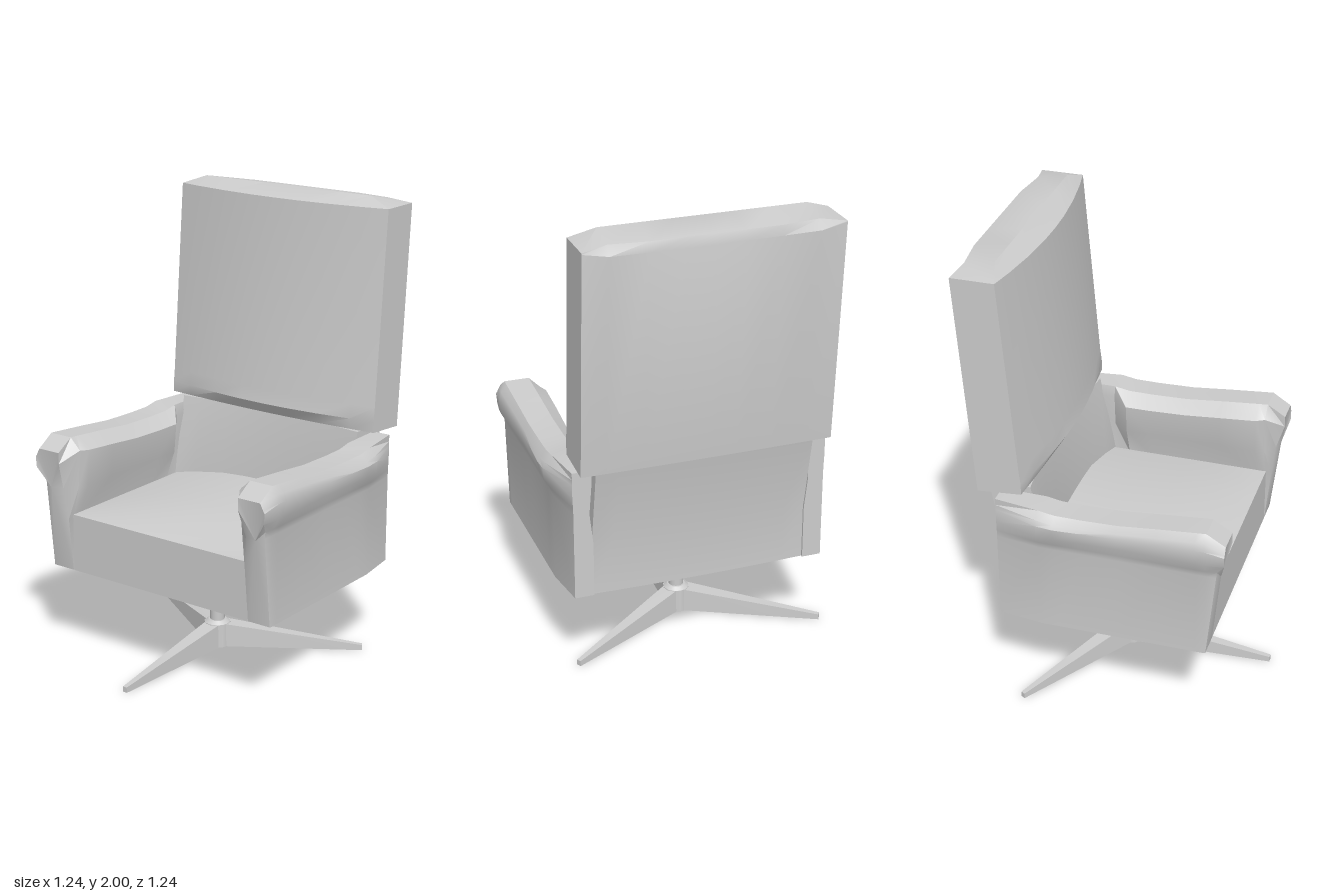
import * as THREE from 'three';
import { toCreasedNormals } from 'three/addons/utils/BufferGeometryUtils.js';

const material = new THREE.MeshStandardMaterial({ color: 0xcccccc });

function part(name, geometry) {
  const mesh = new THREE.Mesh(geometry, material);
  mesh.name = name;
  return mesh;
}

// Closed solid through equal-length loops of [x, y, z], with fanned end caps.
function loft(loops, crease = 0.6) {
  const n = loops[0].length, pos = loops.flat(2), idx = [];
  for (let i = 0; i < loops.length - 1; i++) {
    for (let j = 0; j < n; j++) {
      const a = i * n + j, b = i * n + (j + 1) % n;
      idx.push(a, b, b + n, a, b + n, a + n);
    }
  }
  for (const end of [0, loops.length - 1]) {
    const loop = loops[end], c = pos.length / 3;
    for (let k = 0; k < 3; k++) pos.push(loop.reduce((s, p) => s + p[k], 0) / n);
    for (let j = 0; j < n; j++) {
      const a = end * n + j, b = end * n + (j + 1) % n;
      idx.push(...(end ? [c, a, b] : [c, b, a]));
    }
  }
  // Turn the faces outward if the loops run the other way.
  const v = (i) => new THREE.Vector3().fromArray(pos, i * 3);
  let volume = 0;
  for (let i = 0; i < idx.length; i += 3) {
    volume += v(idx[i]).dot(v(idx[i + 1]).cross(v(idx[i + 2])));
  }
  if (volume < 0) idx.reverse();
  const g = new THREE.BufferGeometry();
  g.setAttribute('position', new THREE.Float32BufferAttribute(pos, 3));
  g.setIndex(idx);
  return toCreasedNormals(g, crease);
}

// Loft across x: profile(x, b) gives [y, z] points, b runs 0 at sides to 1 at centre.
function across(half, stations, profile) {
  return loft(stations.map((t) => {
    const x = t * half;
    return profile(x, 1 - t * t).map(([y, z]) => [x, y, z]);
  }));
}

const STATIONS = [-1, -0.8, -0.5, -0.22, 0, 0.22, 0.5, 0.8, 1];

// Tall cushion, bowed forward, with a bevelled top and a lumbar roll at the foot.
function upperBack() {
  return across(0.54, STATIONS, (x, b) => {
    const t = Math.min(1, (0.54 - Math.abs(x)) / 0.108);
    const dip = t < 1 ? t : Math.max(0, 1 - (0.432 - Math.abs(x)) / 0.16);
    return [
      [1.01, -0.345 + 0.025 * b],
      [1.06, -0.345 + 0.06 * b],
      [1.12, -0.352 + 0.055 * b],
      [1.96, -0.42 + 0.06 * b],
      [1.96 + 0.04 * t, -0.42 - 0.035 * t],
      [1.96 + 0.015 * t, -0.605 + 0.02 * dip],
      [1.955 - 0.02 * t, -0.606 - 0.013 * b],
      [0.995, -0.535 - 0.005 * b],
    ];
  });
}

// Hollowed lower back, leaning out behind to meet the cushion.
function lowerBack() {
  return across(0.47, STATIONS, (x, b) => [
    [0.4, -0.28 - 0.03 * b],
    [0.66, -0.26 - 0.045 * b],
    [1.005, -0.33 - 0.03 * b],
    [1.005, -0.515 - 0.012 * b],
    [0.66, -0.445 - 0.012 * b],
    [0.4, -0.445 - 0.01 * b],
  ]);
}

// Seat block with a crowned top.
function seat() {
  const depths = [0.455, 0.42, 0.35, 0.24, 0.1, -0.1, -0.3];
  return across(0.463, STATIONS, (x, b) => [
    [0.4, -0.3],
    [0.4, 0.455],
    ...depths.map((z) => {
      const f = 1 - (Math.max(0, z - 0.1) / 0.355) ** 2;
      return [0.655 + 0.045 * b * f, z];
    }),
  ]);
}

// Arm: [z, top height, inner pad x, outer roll x, body x] along its length.
function arm(side) {
  const sections = [
    [0.53, 0.95, 0.47, 0.6, 0.575],
    [0.45, 1.0, 0.42, 0.615, 0.577],
    [0.41, 0.997, 0.403, 0.617, 0.577],
    [0.25, 0.983, 0.405, 0.611, 0.577],
    [0.08, 0.966, 0.41, 0.606, 0.577],
    [-0.08, 0.962, 0.408, 0.612, 0.577],
    [-0.19, 0.963, 0.406, 0.619, 0.577],
    [-0.26, 0.975, 0.46, 0.619, 0.577],
    [-0.455, 0.977, 0.47, 0.553, 0.55],
  ];
  return loft(sections.map(([z, top, inner, outer, body], i) => {
    const roll = outer - body;
    const loop = [
      [0.467, 0.4],
      [0.467, 0.64],
      [inner + 0.012, 0.78],
      [inner, top - 0.05],
      [0.47, top],
      [body + 0.003, top],
      [body + roll * 0.75, top - 0.03],
      [outer, (top + 0.89) / 2 - 0.01],
      [outer - roll * 0.15, 0.865],
      [body + roll * 0.2, 0.82],
      [body, 0.79],
      [body, 0.4],
    ];
    // The front face leans forward and the roll overhangs it.
    return loop.map(([x, y]) => {
      const lean = y > 0.84 ? z : 0.455 + 0.04 * (y - 0.4) / 0.41;
      const zz = i === 0 ? lean : z;
      return [side * x, y, zz];
    });
  }));
}

// Star foot leg: tapers in width and height towards its tip.
function leg() {
  const ring = (z, w, h) => [[-w, 0, z], [w, 0, z], [w * 0.9, h, z], [-w * 0.9, h, z]];
  return loft([ring(0, 0.042, 0.107), ring(0.05, 0.04, 0.103), ring(0.645, 0.011, 0.024)]);
}

// Round pieces of the pedestal.
function turned(radius, y0, y1, topRadius = radius, sides = 16) {
  const g = new THREE.CylinderGeometry(topRadius, radius, y1 - y0, sides);
  return g.translate(0, (y0 + y1) / 2, 0);
}

export function createModel() {
  const chair = new THREE.Group();
  chair.name = 'swivelArmchair';

  chair.add(
    part('seat', seat()),
    part('lowerBack', lowerBack()),
    part('upperBack', upperBack()),
    part('leftArm', arm(1)),
    part('rightArm', arm(-1)),
  );

  // Pedestal with three legs, one pointing forward
  const base = new THREE.Group();
  base.name = 'pedestal';
  base.position.set(-0.05, 0, -0.025);
  base.add(
    part('hub', turned(0.062, 0, 0.105, 0.058, 12)),
    part('hubCap', turned(0.056, 0.105, 0.118, 0.04)),
    part('post', turned(0.033, 0.1, 0.3)),
    part('collar', turned(0.056, 0.27, 0.312)),
    part('upperPost', turned(0.047, 0.31, 0.402)),
  );
  for (let i = 0; i < 3; i++) {
    const l = part('leg', leg());
    l.rotation.y = (i * Math.PI * 2) / 3;
    base.add(l);
  }
  chair.add(base);
  return chair;
}
